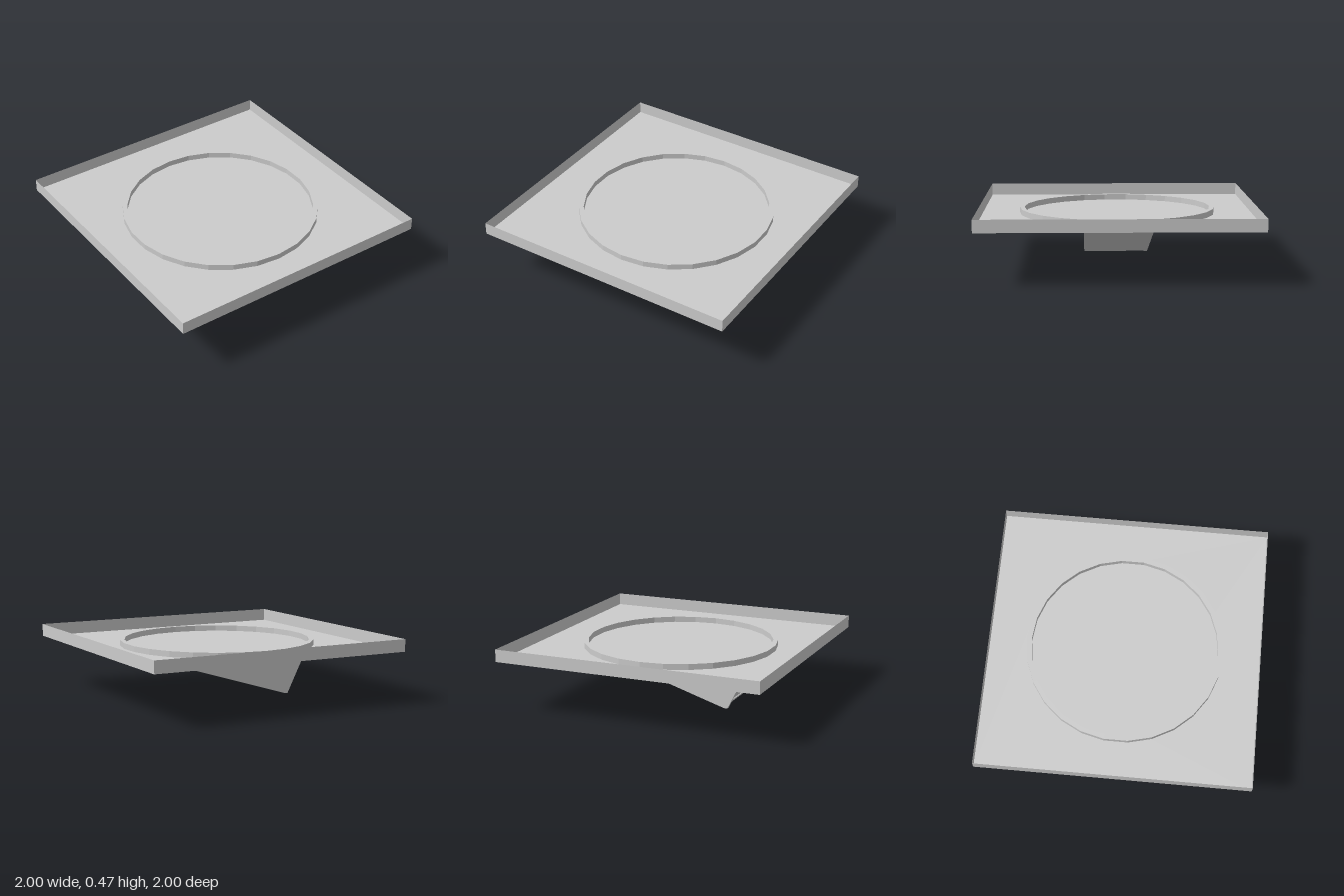
import * as THREE from 'three';

const FLOOR = 0.378, RIM = 0.47, SIDES = 26, R_IN = 0.69, R_OUT = 0.725;
const TILT = Math.atan2(0.17, 0.335);

const solid = new THREE.MeshStandardMaterial({ color: 0xcccccc, flatShading: true });
const sheet = new THREE.MeshStandardMaterial({ color: 0xcccccc, flatShading: true, side: THREE.DoubleSide });

function add(parent, name, geometry, material = solid) {
  const mesh = new THREE.Mesh(geometry, material);
  mesh.name = name;
  parent.add(mesh);
  return mesh;
}

const polygon = (points) => new THREE.Shape(points.map(([x, y]) => new THREE.Vector2(x, y)));

// Extrudes a (z, y) side profile from x0 to x1
function sideProfile(points, x0, x1) {
  const g = new THREE.ExtrudeGeometry(polygon(points), { depth: x1 - x0, bevelEnabled: false });
  return g.rotateY(-Math.PI / 2).translate(x1, 0, 0);
}

// Curved lip following the ring, with a sloping underside
function lip(innerX, innerZ) {
  const points = [[innerX, innerZ]];
  for (const k of [1.5, 0.5, -0.5, -1.5]) {
    const a = (k * Math.PI * 2) / SIDES;
    points.push([R_IN * Math.sin(a), R_IN * Math.cos(a)]);
  }
  points.push([-innerX, innerZ]);
  const g = new THREE.ExtrudeGeometry(polygon(points), { depth: 1, bevelEnabled: false });
  g.rotateX(Math.PI / 2);
  const p = g.attributes.position;
  for (let i = 0; i < p.count; i++) {
    p.setY(i, p.getY(i) < -0.5 ? 0.345 + (p.getZ(i) - 0.685) * 0.33 : FLOOR);
  }
  return g;
}

function roundedRect(path, w, y0, y1, r) {
  path.moveTo(-w + r, y0);
  path.lineTo(w - r, y0);
  path.quadraticCurveTo(w, y0, w, y0 + r);
  path.lineTo(w, y1 - r);
  path.quadraticCurveTo(w, y1, w - r, y1);
  path.lineTo(-w + r, y1);
  path.quadraticCurveTo(-w, y1, -w, y1 - r);
  path.lineTo(-w, y0 + r);
  path.quadraticCurveTo(-w, y0, -w + r, y0);
  return path;
}

export function createModel() {
  const model = new THREE.Group();
  model.name = 'ceilingPanel';

  // Square tray floor with a round opening, and the disc inside it
  const square = polygon([[-1, -1], [1, -1], [1, 1], [-1, 1]]);
  const ringPoints = [];
  for (let i = 0; i < SIDES; i++) {
    const a = (-i / SIDES) * Math.PI * 2;
    ringPoints.push(new THREE.Vector2(R_OUT * Math.cos(a), R_OUT * Math.sin(a)));
  }
  square.holes.push(new THREE.Path(ringPoints));
  add(model, 'trayFloor', new THREE.ShapeGeometry(square).rotateX(-Math.PI / 2).translate(0, FLOOR, 0), sheet);
  add(model, 'centreDisc', new THREE.CircleGeometry(R_IN, SIDES).rotateX(-Math.PI / 2).translate(0, FLOOR, 0), sheet);

  // Thin upright tray walls
  for (let i = 0; i < 4; i++) {
    const wall = new THREE.PlaneGeometry(2, RIM - FLOOR).translate(0, (RIM + FLOOR) / 2, 1);
    add(model, 'trayWall', wall.rotateY((i * Math.PI) / 2), sheet);
  }

  // Raised ring, open underneath as a groove
  const channel = [[R_OUT, FLOOR], [R_OUT, 0.42], [R_IN, 0.42], [R_IN, FLOOR]];
  const ring = new THREE.LatheGeometry(channel.map(([x, y]) => new THREE.Vector2(x, y)), SIDES);
  add(model, 'raisedRing', ring.rotateY(Math.PI / 2), sheet);

  // Wedge housing under the disc
  const housing = new THREE.Group();
  housing.name = 'wedgeHousing';
  model.add(housing);

  add(housing, 'housingCore', sideProfile(
    [[-0.645, FLOOR], [-0.645, 0.335], [0.441, 0.003], [0.602, 0.317], [0.645, FLOOR]], -0.22, 0.22));

  // Side cheeks standing proud of the recessed front
  const cheek = [[-0.645, FLOOR], [-0.645, 0.335], [0.45, 0], [0.475, 0], [0.645, 0.335], [0.645, FLOOR]];
  for (const [x0, x1] of [[-0.247, -0.22], [0.22, 0.247]]) {
    add(housing, 'sideCheek', sideProfile(cheek, x0, x1));
  }

  add(housing, 'frontLip', lip(0.22, 0.6));
  add(housing, 'backLip', lip(0.24, 0.64).rotateY(Math.PI));

  // Rounded frame on the sloping front
  const s = 1 / Math.cos(TILT);
  const frame = roundedRect(new THREE.Shape(), 0.185, 0.015 * s, 0.3 * s, 0.02);
  frame.holes.push(roundedRect(new THREE.Path(), 0.167, 0.03 * s, 0.285 * s, 0.02));
  const frameMesh = add(housing, 'frontFrame',
    new THREE.ExtrudeGeometry(frame, { depth: 0.008, bevelEnabled: false, curveSegments: 4 }));
  frameMesh.position.set(0, 0, 0.441);
  frameMesh.rotation.x = TILT;

  return model;
}
